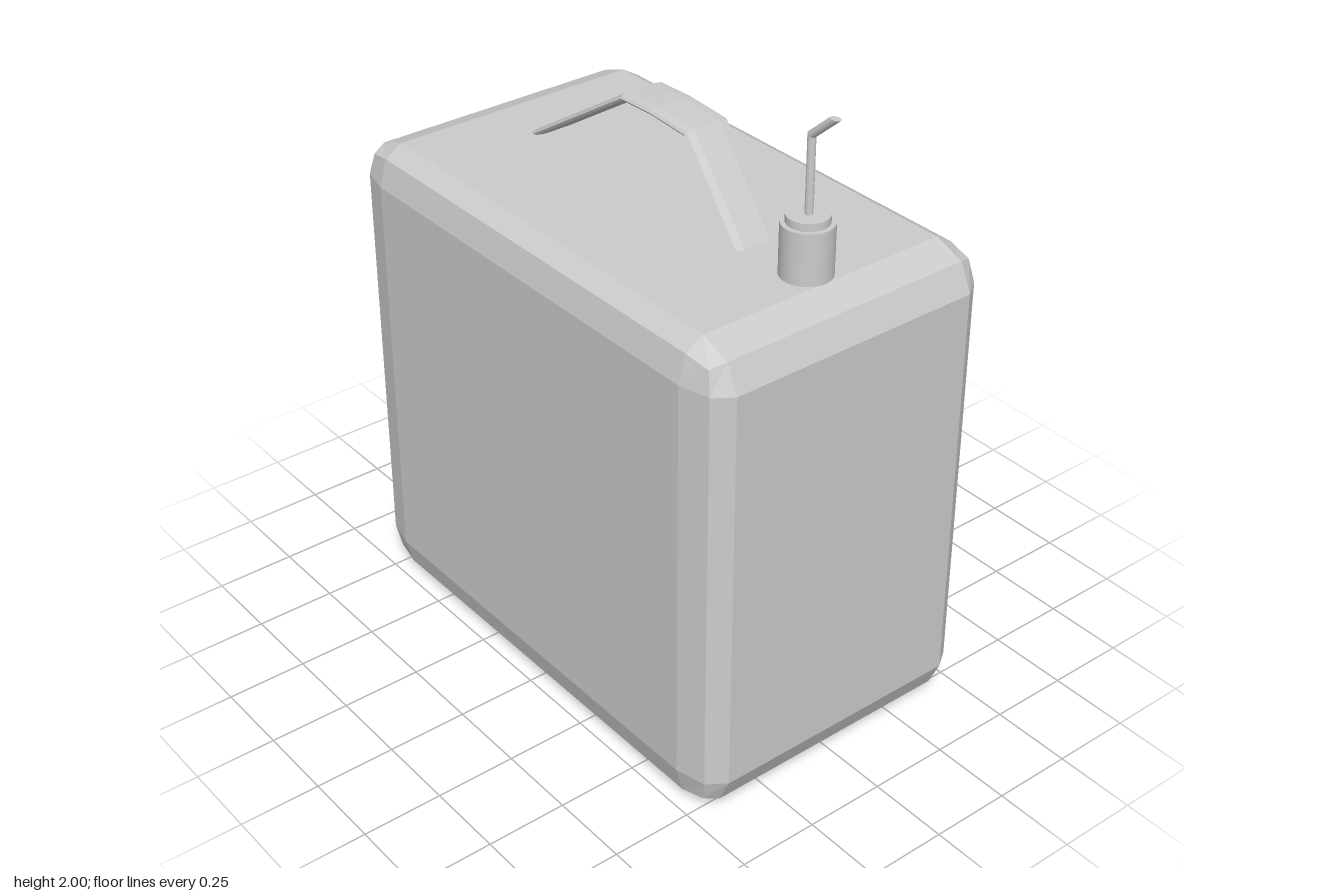
import * as THREE from 'three';
import { RoundedBoxGeometry } from 'three/addons/geometries/RoundedBoxGeometry.js';

const flat = new THREE.MeshStandardMaterial({ color: 0xcccccc, flatShading: true });
const smooth = new THREE.MeshStandardMaterial({ color: 0xcccccc });

// Sweeps a closed section of [x, t] points along a path of [z, y] points,
// with mitred joints and both ends cut level.
function sweep(path, section) {
  const normals = path.slice(1).map(([z, y], i) =>
    new THREE.Vector2(y - path[i][1], path[i][0] - z).normalize());
  const n = section.length, last = path.length - 1;
  const pos = [], index = [];
  path.forEach(([z, y], i) => {
    const seg = normals[Math.min(i, last - 1)];
    const end = i === 0 || i === last;
    const m = end ? new THREE.Vector2(1, 0) : normals[i - 1].clone().add(seg).normalize();
    m.divideScalar(m.dot(seg));
    for (const [x, t] of section) pos.push(x, y + m.y * t, z + m.x * t);
  });
  for (let i = 0; i < last; i++) {
    for (let k = 0; k < n; k++) {
      const a = i * n + k, b = i * n + (k + 1) % n;
      index.push(a, a + n, b, b, a + n, b + n);
    }
  }
  for (let k = 1; k < n - 1; k++) {
    index.push(0, k, k + 1, last * n, last * n + k + 1, last * n + k);
  }
  const g = new THREE.BufferGeometry();
  g.setAttribute('position', new THREE.Float32BufferAttribute(pos, 3));
  g.setIndex(index);
  g.computeVertexNormals();
  return g;
}

export function createModel() {
  const model = new THREE.Group();
  model.name = 'jerrycan';
  const add = (name, geometry, material) => {
    const mesh = new THREE.Mesh(geometry, material);
    mesh.name = name;
    model.add(mesh);
  };

  // Body: box with two-step bevels, a different depth along each axis
  const size = [0.98, 1.52, 1.65], bevel = [0.08, 0.12, 0.135];
  const [w, h, d] = size.map((s, i) => s / bevel[i]);
  const body = new RoundedBoxGeometry(w, h, d, 1, 1);
  body.scale(...bevel);
  body.translate(0, size[1] / 2, 0);
  add('body', body, flat);

  // Carrying handle: flat strap with rounded edges
  const strap = [[0.075, 0], [0.07, 0.007], [0.045, 0.011], [-0.045, 0.011], [-0.07, 0.007],
    [-0.075, 0], [-0.07, -0.007], [-0.045, -0.011], [0.045, -0.011], [0.07, -0.007]];
  add('handle', sweep([[0.425, 1.5], [0.2, 1.785], [0.05, 1.794], [-0.075, 1.79], [-0.53, 1.5]], strap), flat);

  // Cap with a smaller collar on top
  for (const [name, r, y0, y1] of [['cap', 0.075, 1.5, 1.675], ['capCollar', 0.061, 1.66, 1.698]]) {
    const g = new THREE.CylinderGeometry(r, r, y1 - y0, 32);
    g.translate(0, (y0 + y1) / 2, 0.618);
    add(name, g, smooth);
  }

  // Bent spout tube
  const round = Array.from({ length: 12 }, (_, k) => {
    const a = (k / 12) * Math.PI * 2;
    return [0.012 * Math.cos(a), 0.012 * Math.sin(a)];
  });
  add('spout', sweep([[0.62, 1.69], [0.62, 1.925], [0.705, 2]], round), flat);

  return model;
}
